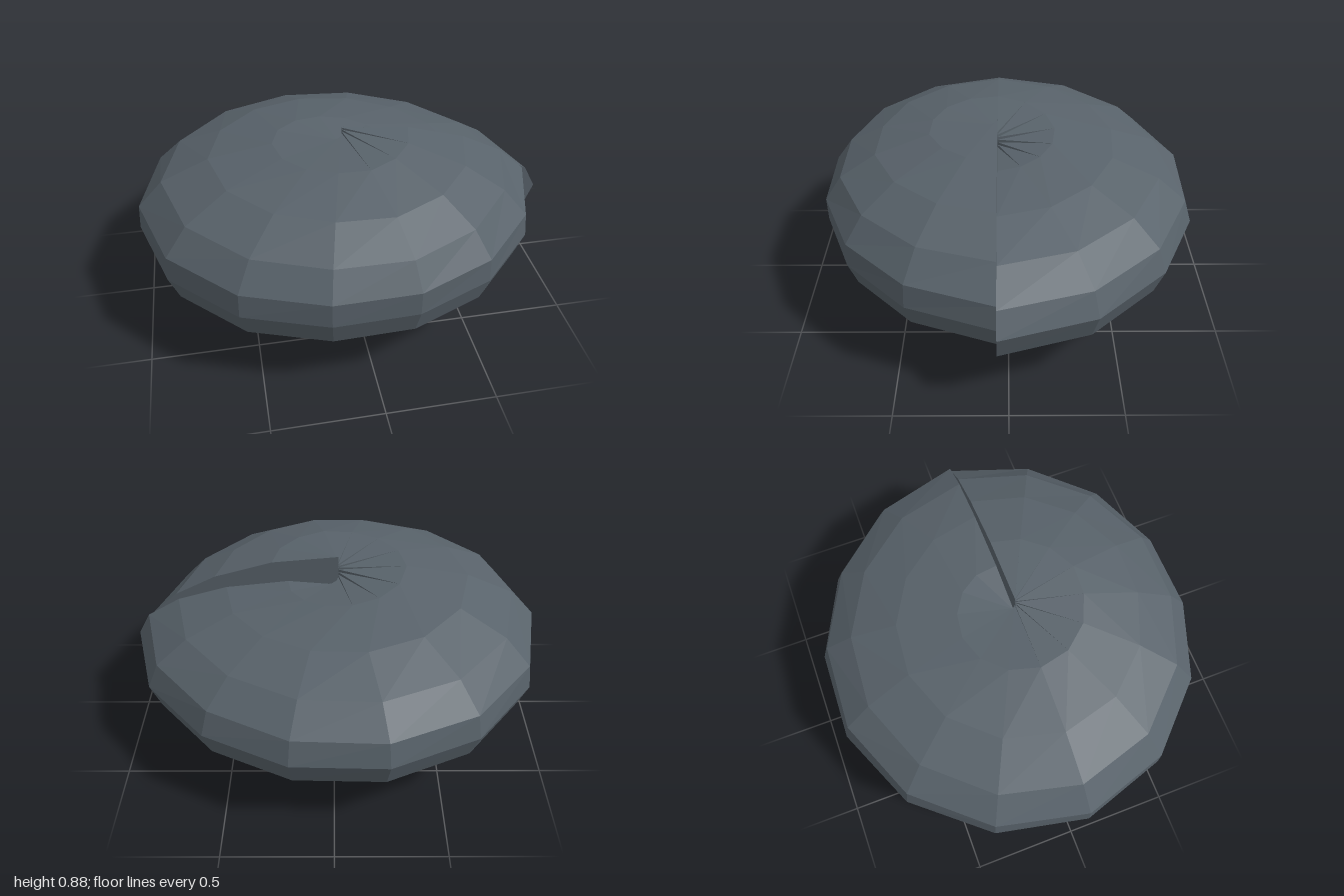
import * as THREE from 'three';

const SIDES = 14;
const AXIS_X = -0.02, AXIS_Z = 0.05, MID_Y = 0.435;

// equator radius at each step of the turn
const EQUATOR = [1.01, 0.98, 0.954, 0.953, 0.965, 0.98, 0.988, 0.98, 0.944, 0.896, 0.85, 0.84, 0.86, 0.9, 0.95];

// upper half at key steps: radius as a share of the equator, and height, from above the equator to the pole
const UPPER = [
  { step: 0, radius: [0.94, 0.78, 0.54, 0.24, 0], height: [0.545, 0.64, 0.71, 0.745, 0.71] },
  { step: 7, radius: [0.99, 0.87, 0.64, 0.335, 0], height: [0.555, 0.68, 0.78, 0.83, 0.81] },
  { step: 11, radius: [1.0, 0.905, 0.7, 0.39, 0], height: [0.55, 0.665, 0.765, 0.84, 0.85] },
  { step: 14, radius: [0.98, 0.84, 0.63, 0.335, 0], height: [0.55, 0.67, 0.77, 0.85, 0.88] },
];

// cross-section at one step, from the bottom pole to the top pole
function section(k) {
  const r = EQUATOR[k];
  const angle = (k / SIDES) * Math.PI * 2;
  const points = [];
  const add = (radius, y) => points.push(new THREE.Vector3(
    AXIS_X + radius * Math.cos(angle), y, AXIS_Z - radius * Math.sin(angle)));

  const depth = THREE.MathUtils.lerp(MID_Y, 0.395, Math.min(1, k / 9));
  for (let j = 5; j >= 0; j--) {
    const a = (j * Math.PI) / 10;
    add(j === 5 ? 0 : r * Math.cos(a), MID_Y - depth * Math.sin(a));
  }
  const i = Math.max(1, UPPER.findIndex((key) => key.step >= k));
  const from = UPPER[i - 1], to = UPPER[i];
  const t = (k - from.step) / (to.step - from.step);
  for (let j = 0; j < 5; j++) {
    add(r * THREE.MathUtils.lerp(from.radius[j], to.radius[j], t),
      THREE.MathUtils.lerp(from.height[j], to.height[j], t));
  }
  return points;
}

// join neighbouring sections with quads
function loft(sections) {
  const positions = [];
  const triangle = (a, b, c) => {
    const area = b.clone().sub(a).cross(c.clone().sub(a)).length();
    if (area > 1e-6) for (const p of [a, b, c]) positions.push(p.x, p.y, p.z);
  };
  for (let k = 0; k < sections.length - 1; k++) {
    const s = sections[k], n = sections[k + 1];
    for (let j = 0; j < s.length - 1; j++) {
      triangle(s[j], n[j], n[j + 1]);
      triangle(s[j], n[j + 1], s[j + 1]);
    }
  }
  const geometry = new THREE.BufferGeometry();
  geometry.setAttribute('position', new THREE.Float32BufferAttribute(positions, 3));
  geometry.computeVertexNormals();
  return geometry;
}

export function createModel() {
  const slate = new THREE.MeshStandardMaterial({ color: 0x58626a, flatShading: true, side: THREE.DoubleSide });
  slate.name = 'slate grey';

  const group = new THREE.Group();
  group.name = 'spiralShell';

  const sections = EQUATOR.map((_, k) => section(k));

  // one full turn of the coiled body
  const body = new THREE.Mesh(loft(sections), slate);
  body.name = 'shellBody';

  // step where the end of the turn meets its start
  const lip = new THREE.Mesh(loft([sections[SIDES], sections[0]]), slate);
  lip.name = 'shellLip';

  group.add(body, lip);
  return group;
}
